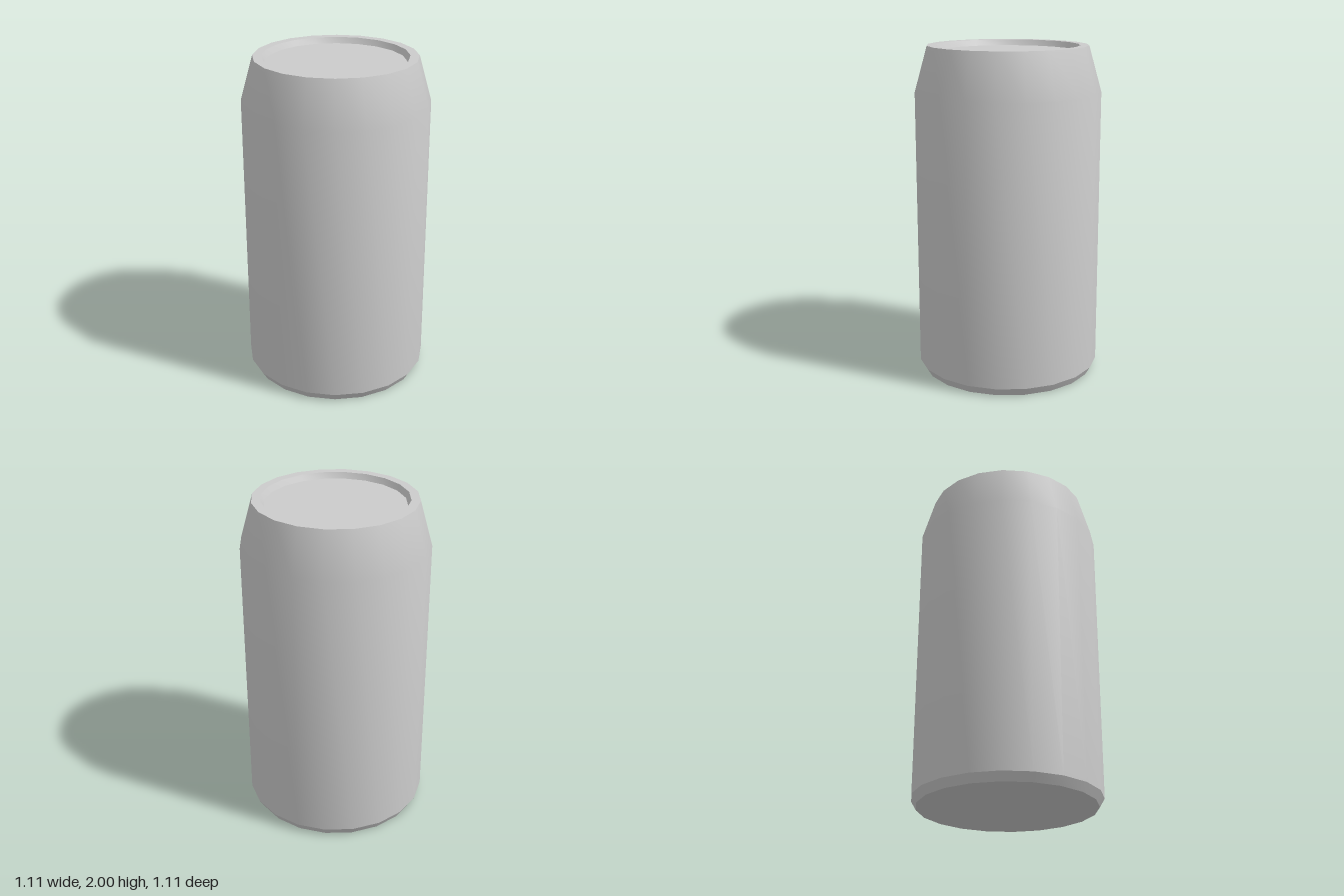
import * as THREE from 'three';
import { toCreasedNormals } from 'three/addons/utils/BufferGeometryUtils.js';

const SIDES = 20;
const CREASE = THREE.MathUtils.degToRad(27.5);
const material = new THREE.MeshStandardMaterial({ color: 0xcccccc });

// Revolve a [radius, height] profile, smooth around but sharp at hard edges
function revolve(name, profile) {
  const points = profile.map(([r, y]) => new THREE.Vector2(r, y));
  const geometry = toCreasedNormals(new THREE.LatheGeometry(points, SIDES), CREASE);
  const mesh = new THREE.Mesh(geometry, material);
  mesh.name = name;
  return mesh;
}

export function createModel() {
  const can = new THREE.Group();
  can.name = 'can';

  // Flat base, bevelled foot, straight wall, tapered shoulder and rim
  can.add(revolve('body', [
    [0, 0], [0.528, 0], [0.557, 0.05], [0.557, 1.73], [0.481, 2], [0.428, 2],
  ]));

  // Sunken lid with a slanted inner wall
  can.add(revolve('lid', [[0.428, 2], [0.411, 1.965], [0, 1.965]]));

  return can;
}
